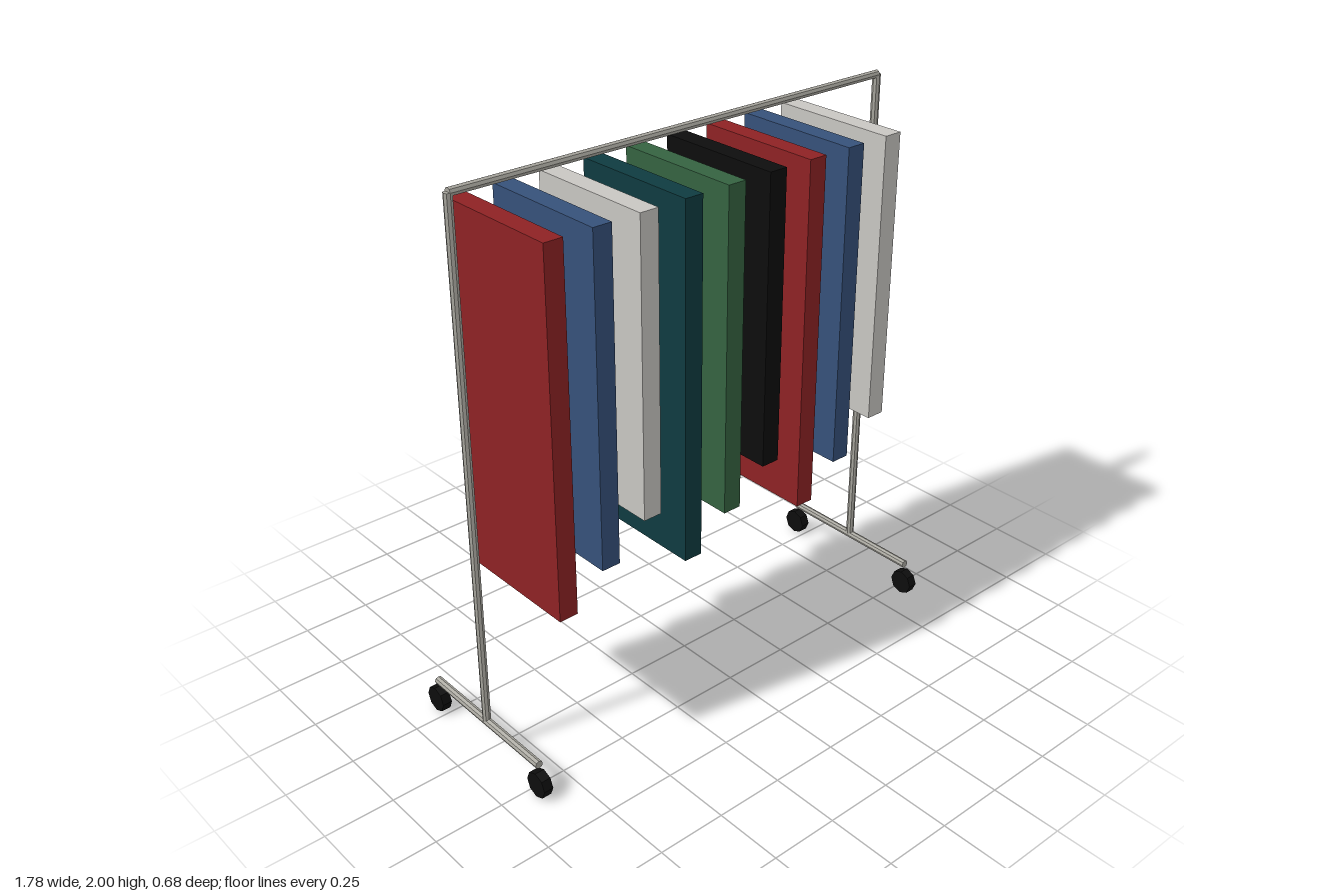
import * as THREE from 'three';

const paint = (name, color) => {
  const m = new THREE.MeshStandardMaterial({ color, flatShading: true });
  m.name = name;
  return m;
};

export function createModel() {
  const metal = paint('steel', 0xa9a79f);
  const black = paint('black', 0x0d0d0d);
  const red = paint('red', 0x8e2224);
  const blue = paint('blue', 0x36517a);
  const pale = paint('pale grey', 0xc8c6c2);
  const teal = paint('teal', 0x0f3b40);
  const green = paint('green', 0x356341);

  const rack = new THREE.Group();
  rack.name = 'garmentRack';

  const add = (name, geometry, material, x, y, z) => {
    const mesh = new THREE.Mesh(geometry, material);
    mesh.name = name;
    mesh.position.set(x, y, z);
    rack.add(mesh);
    return mesh;
  };
  const tube = (length) => new THREE.CylinderGeometry(0.0145, 0.0145, length, 8);

  const postX = 0.874, railY = 1.985, footY = 0.122, footZ = 0.291;

  // Top rail
  add('topRail', tube(postX * 2).rotateZ(Math.PI / 2), metal, 0, railY, 0);

  // Posts, feet and wheels on both ends
  for (const [side, label] of [[1, 'left'], [-1, 'right']]) {
    const x = side * postX;
    add(label + 'Post', tube(railY - footY), metal, x, (railY + footY) / 2, 0);
    add(label + 'Foot', tube(footZ * 2).rotateX(Math.PI / 2), metal, x, footY, 0);
    for (const [end, where] of [[1, 'Front'], [-1, 'Back']]) {
      const wheel = new THREE.CylinderGeometry(0.047, 0.047, 0.035, 8).rotateZ(Math.PI / 2);
      add(label + where + 'Wheel', wheel, black, x, 0.047, end * footZ);
    }
  }

  // Hanging garments in three repeating lengths
  const top = 1.87, lengths = [1.28, 1.165, 1.05];
  [red, blue, pale, teal, green, black, red, blue, pale].forEach((material, i) => {
    const h = lengths[i % 3];
    add('garment' + (i + 1), new THREE.BoxGeometry(0.07, h, 0.49), material, (i - 4) * 0.1745, top - h / 2, 0);
  });

  return rack;
}
